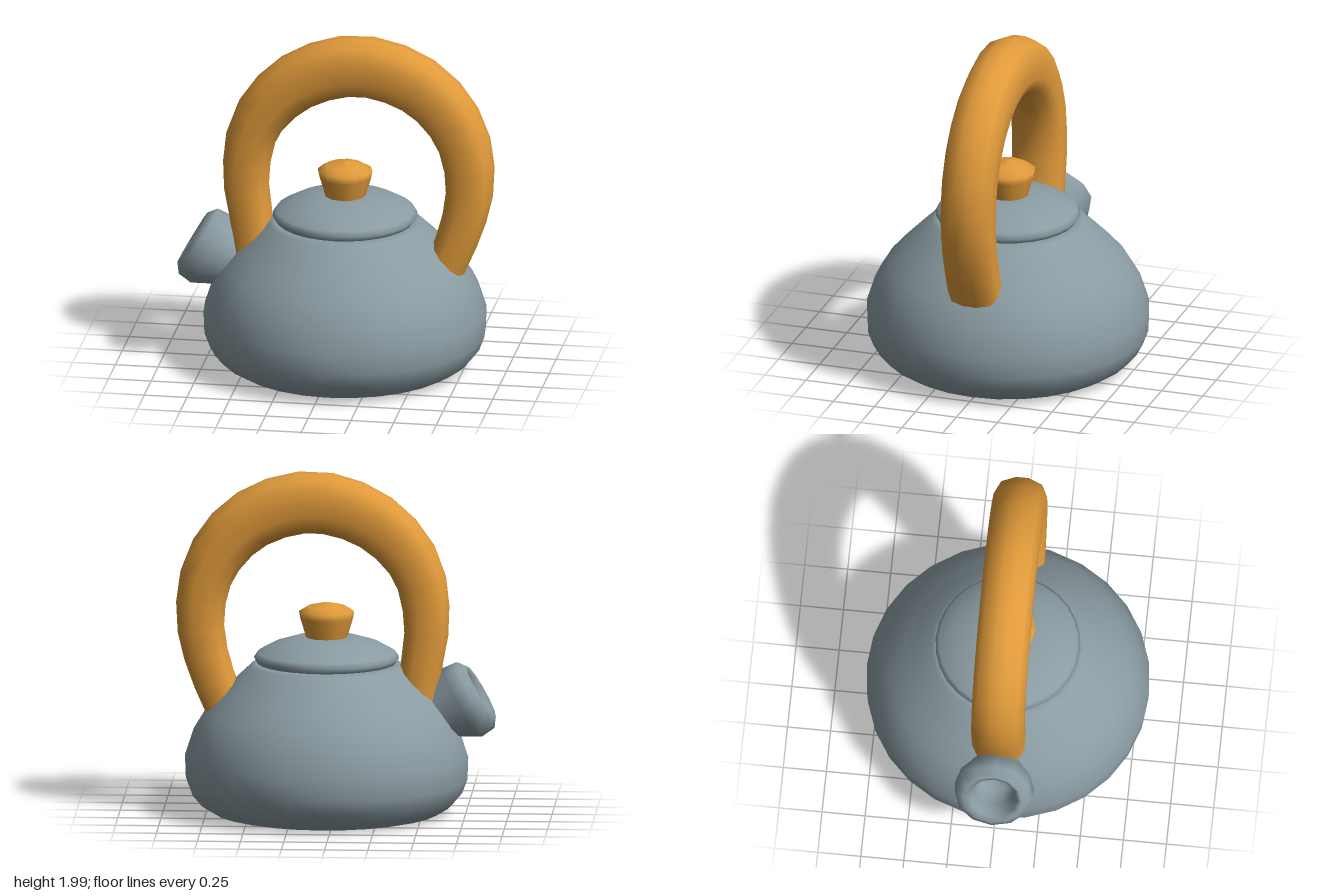
import * as THREE from 'three';

const CENTER_X = 0.055;

// Surface of revolution from [radius, height] pairs, listed bottom to top
function lathe(name, profile, sides, material) {
  const points = profile.map(([r, y]) => new THREE.Vector2(r, y));
  const mesh = new THREE.Mesh(new THREE.LatheGeometry(points, sides), material);
  mesh.name = name;
  return mesh;
}

// Sweep a softly squared section along a curve in the XY plane
function sweepHandle(curve, steps, halfDepth, halfHeight) {
  const quarter = [[0.98, 0.24], [0.78, 0.77], [0.34, 1]];
  const section = [
    ...quarter,
    ...quarter.map(([u, v]) => [-u, v]).reverse(),
    ...quarter.map(([u, v]) => [-u, -v]),
    ...quarter.map(([u, v]) => [u, -v]).reverse(),
  ];
  const n = section.length;
  const positions = [];
  const index = [];
  for (let i = 0; i <= steps; i++) {
    const t = i / steps;
    const p = curve.getPointAt(t);
    const d = curve.getTangentAt(t);
    const h = halfHeight(t);
    for (const [u, v] of section) {
      positions.push(p.x + d.y * u * h, p.y - d.x * u * h, v * halfDepth);
    }
  }
  for (let i = 0; i < steps; i++) {
    for (let j = 0; j < n; j++) {
      const a = i * n + j;
      const b = i * n + ((j + 1) % n);
      index.push(a, b, a + n, b, b + n, a + n);
    }
  }
  const geometry = new THREE.BufferGeometry();
  geometry.setAttribute('position', new THREE.Float32BufferAttribute(positions, 3));
  geometry.setIndex(index);
  geometry.computeVertexNormals();
  return geometry;
}

export function createModel() {
  const enamel = new THREE.MeshStandardMaterial({ name: 'grey enamel', color: 0x8a9ba2 });
  const wood = new THREE.MeshStandardMaterial({ name: 'orange wood', color: 0xe09a3a });
  // the handle ends are open inside the body
  wood.side = THREE.DoubleSide;

  const kettle = new THREE.Group();
  kettle.name = 'kettle';

  // Domed body with a rounded foot
  const body = lathe('body', [
    [0.61, 0], [0.66, 0.012], [0.73, 0.055], [0.785, 0.12], [0.815, 0.2], [0.82, 0.33],
    [0.77, 0.485], [0.7, 0.6], [0.61, 0.7], [0.52, 0.79], [0.44, 0.865], [0.41, 0.877], [0, 0.877],
  ], 28, enamel);
  body.position.x = CENTER_X;

  const base = new THREE.Mesh(new THREE.CircleGeometry(0.61, 28), enamel);
  base.name = 'base';
  base.rotation.x = Math.PI / 2;
  base.position.x = CENTER_X;

  // Lid and its knob
  const lid = lathe('lid', [
    [0.36, 0.872], [0.4, 0.88], [0.42, 0.91], [0.4, 0.94], [0.31, 0.99],
    [0.19, 1.027], [0.1, 1.03], [0, 1.03],
  ], 28, enamel);
  lid.position.x = CENTER_X;

  const knob = lathe('lidKnob', [
    [0.11, 1.0], [0.12, 1.03], [0.153, 1.14], [0.16, 1.18], [0.11, 1.21], [0, 1.235],
  ], 12, wood);
  knob.position.x = CENTER_X;

  // Flared spout with a hollow mouth
  const spout = lathe('spout', [
    [0.14, 0.6], [0.165, 0.84], [0.23, 0.96], [0.222, 1.045], [0.17, 1.085],
    [0.14, 1.065], [0.115, 0.98], [0.1, 0.88], [0, 0.87],
  ], 12, enamel);
  spout.position.set(0.1, 0.173, 0);
  spout.rotation.z = Math.PI / 3;

  // Arched handle, thickest at the top
  const arch = new THREE.CatmullRomCurve3([
    [0.59, 0.5], [0.67, 0.69], [0.745, 0.89], [0.787, 1.16], [0.72, 1.46], [0.5, 1.71], [0.14, 1.82],
    [-0.22, 1.71], [-0.46, 1.45], [-0.525, 1.13], [-0.495, 0.87], [-0.46, 0.6],
  ].map(([x, y]) => new THREE.Vector3(x, y, 0)));
  const thickness = (t) => 0.118 + 0.062 * Math.sin(Math.PI * t) ** 2;
  const handle = new THREE.Mesh(sweepHandle(arch, 22, 0.152, thickness), wood);
  handle.name = 'handle';

  kettle.add(body, base, lid, knob, spout, handle);
  return kettle;
}
